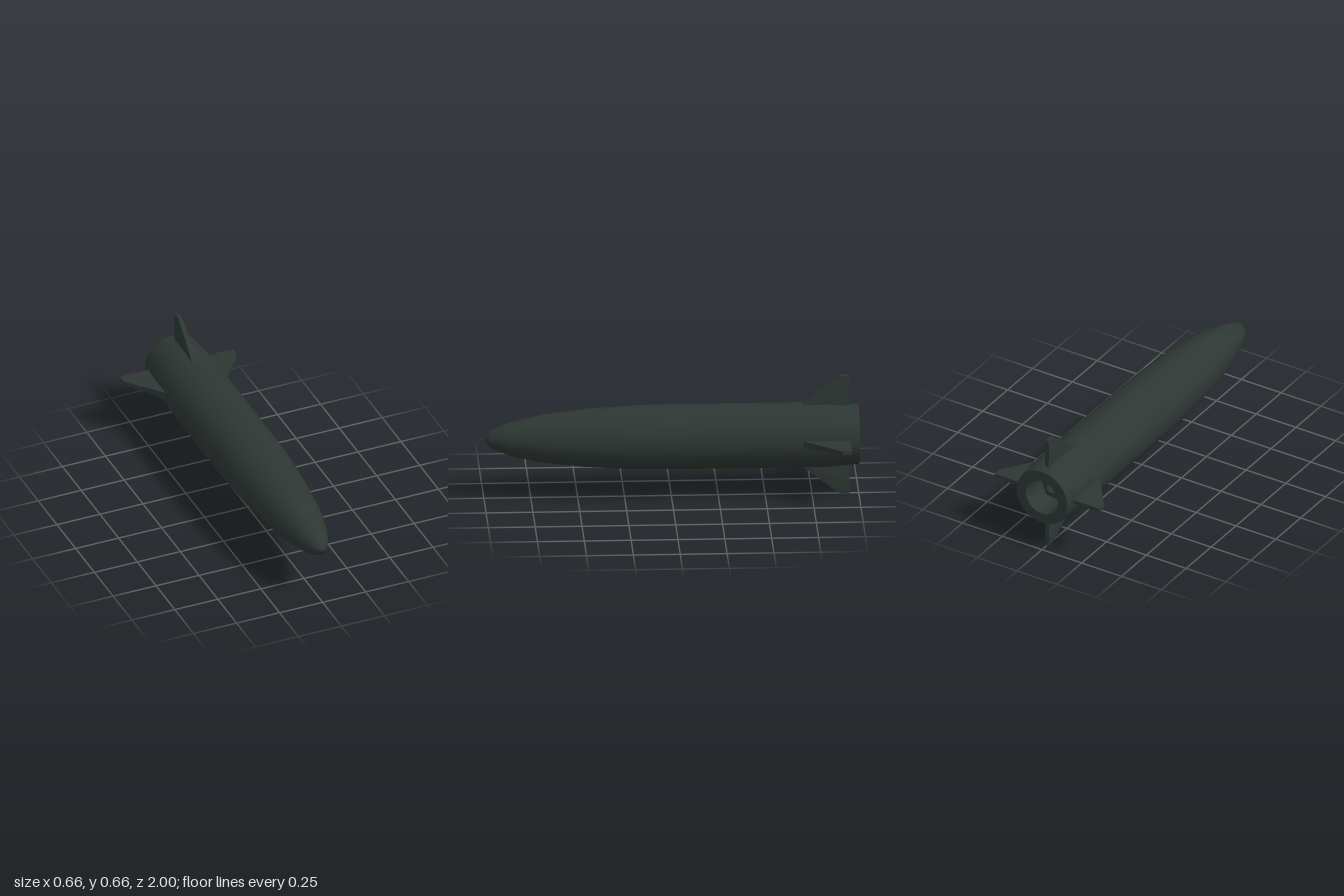
import * as THREE from 'three';

const COLOR = 0x2e3733;
const CENTRE_Y = 0.33;

// Spins a [radius, z] profile, listed from rear to front, about the z axis
function spin(name, profile, material) {
  const points = profile.map(([r, z]) => new THREE.Vector2(r, z));
  const geometry = new THREE.LatheGeometry(points, 24);
  geometry.rotateX(Math.PI / 2);
  const mesh = new THREE.Mesh(geometry, material);
  mesh.name = name;
  return mesh;
}

// Tapered fin pointing along +x; outline corners are [radius, z, half thickness]
function finGeometry() {
  const outline = [
    [0.15, -0.67, 0.0205],
    [0.33, -0.90, 0.010],
    [0.33, -0.95, 0.010],
    [0.27, -0.95, 0.0135],
    [0.15, -0.95, 0.010],
  ];
  const n = outline.length;
  const positions = [];
  for (const side of [1, -1]) {
    for (const [r, z, h] of outline) positions.push(r, side * h, z);
  }
  const index = [];
  for (let i = 1; i < n - 1; i++) {
    index.push(0, i, i + 1, n, n + i + 1, n + i);
  }
  for (let i = 0; i < n; i++) {
    const j = (i + 1) % n;
    index.push(n + i, n + j, j, n + i, j, i);
  }
  const indexed = new THREE.BufferGeometry();
  indexed.setAttribute('position', new THREE.Float32BufferAttribute(positions, 3));
  indexed.setIndex(index);
  const geometry = indexed.toNonIndexed();
  geometry.computeVertexNormals();
  return geometry;
}

export function createModel() {
  const model = new THREE.Group();
  model.name = 'rocket';
  const smooth = new THREE.MeshStandardMaterial({ color: COLOR });
  const flat = new THREE.MeshStandardMaterial({ color: COLOR, flatShading: true });

  // Hull with pointed nose and slightly narrowed tail
  model.add(
    spin('tailSection', [[0.16, -1], [0.174, -0.82]], smooth),
    spin('hull', [
      [0.174, -0.82], [0.174, 0], [0.171, 0.2], [0.155, 0.46], [0.128, 0.69],
      [0.09, 0.86], [0.048, 0.965], [0.015, 0.992], [0, 1],
    ], smooth),
  );

  // Open tail: rim, exhaust cavity and the cone inside it
  model.add(
    spin('tailRim', [[0.102, -1], [0.16, -1]], smooth),
    spin('exhaustWall', [[0.095, -0.85], [0.102, -1]], smooth),
    spin('exhaustFloor', [[0, -0.85], [0.095, -0.85]], smooth),
    spin('exhaustCone', [[0, -0.94], [0.025, -0.93], [0.055, -0.85]], smooth),
  );

  // Four fins around the tail
  const fin = finGeometry();
  ['leftFin', 'topFin', 'rightFin', 'bottomFin'].forEach((name, i) => {
    const mesh = new THREE.Mesh(fin, flat);
    mesh.name = name;
    mesh.rotation.z = i * Math.PI / 2;
    model.add(mesh);
  });

  for (const part of model.children) part.position.y = CENTRE_Y;
  return model;
}
